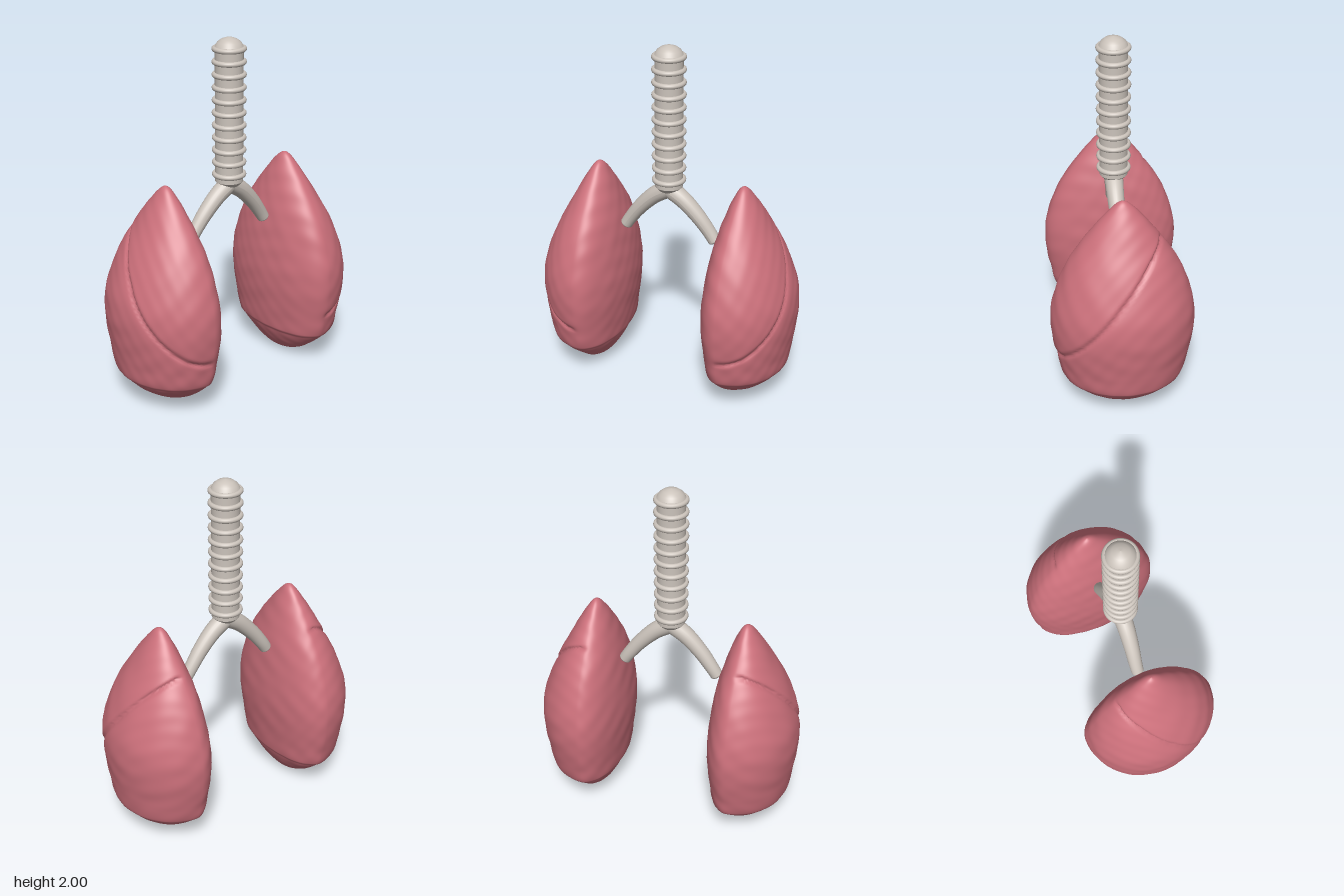
import * as THREE from 'three';

const lungPink = new THREE.MeshStandardMaterial({ color: 0xcc707b });
lungPink.name = 'lungPink';
const cartilage = new THREE.MeshStandardMaterial({ color: 0xcbc3bb });
cartilage.name = 'cartilage';

const AXIS_X = 0.44, AIRWAY_Z = 0.012;

// Lung sections: height, reach towards the middle, reach outwards, half depth
const SECTIONS = [
  [0.005, 0, 0, 0], [0.02, 0.045, 0.06, 0.09], [0.055, 0.08, 0.13, 0.175],
  [0.11, 0.115, 0.21, 0.255], [0.19, 0.148, 0.277, 0.335], [0.3, 0.162, 0.297, 0.365],
  [0.42, 0.175, 0.313, 0.388], [0.54, 0.181, 0.322, 0.397], [0.66, 0.175, 0.311, 0.385],
  [0.8, 0.159, 0.266, 0.343], [0.92, 0.138, 0.212, 0.287], [1.03, 0.109, 0.153, 0.216],
  [1.12, 0.08, 0.104, 0.148], [1.2, 0.049, 0.056, 0.08], [1.245, 0.024, 0.026, 0.035],
  [1.262, 0, 0, 0],
];
const heightCurve = new THREE.SplineCurve(SECTIONS.map((s, i) => new THREE.Vector2(i, s[0])));
const reachCurve = new THREE.CatmullRomCurve3(
  SECTIONS.map((s) => new THREE.Vector3(s[1], s[2], s[3])), false, 'catmullrom', 0.5);

// Inward offset of the skin: oblique fissure, base crease and soft lumps
function skinOffset(x, y, z) {
  const d = (y - (0.36 + (0.36 - z) * 1.21)) / 1.57;
  const fade = THREE.MathUtils.smoothstep(x, AXIS_X - 0.03, AXIS_X + 0.04);
  const groove = 0.013 * Math.exp(-((d / 0.012) ** 2));
  const step = d < 0 ? 0.007 * Math.exp(d / 0.06) : 0;
  const base = 0.009 * (1 - THREE.MathUtils.smoothstep(y, 0.178, 0.19));
  const lumps = 0.0013 * (Math.sin(31 * x + 19 * y) * Math.sin(27 * z - 13 * y + 1)
    + Math.sin(47 * y + 23 * z) * Math.sin(41 * x - 35 * z));
  return fade * (groove + step) + base + lumps;
}

function lungGeometry(side) {
  const rows = 150, segs = 120, pos = [], index = [];
  for (let i = 0; i <= rows; i++) {
    const t = i / rows;
    const y = heightCurve.getPoint(t).y, r = reachCurve.getPoint(t);
    for (let j = 0; j < segs; j++) {
      const a = (j / segs) * Math.PI * 2, c = Math.cos(a), s = Math.sin(a);
      const rx = Math.max(0, c > 0 ? r.y : r.x), rz = Math.max(0, r.z);
      const off = skinOffset(AXIS_X + rx * c, y, rz * s);
      const k = Math.min(1, rz / 0.06);
      pos.push(side * (AXIS_X + (rx - off * k) * c), y, (rz - off * k) * s);
      if (i === rows) continue;
      const p = i * segs + j, n = i * segs + (j + 1) % segs;
      if (side > 0) index.push(p, p + segs, n, n, p + segs, n + segs);
      else index.push(p, n, p + segs, n, n + segs, p + segs);
    }
  }
  const g = new THREE.BufferGeometry();
  g.setAttribute('position', new THREE.Float32BufferAttribute(pos, 3));
  g.setIndex(index);
  g.computeVertexNormals();
  return g;
}

// Tube whose radius shrinks from r0 to r1 along the path
function taperedTube(path, r0, r1, segs, sides) {
  const g = new THREE.TubeGeometry(path, segs, 1, sides, false);
  const p = g.attributes.position, v = new THREE.Vector3();
  for (let i = 0; i < p.count; i++) {
    const t = Math.floor(i / (sides + 1)) / segs, c = path.getPointAt(t);
    v.fromBufferAttribute(p, i).sub(c).multiplyScalar(r0 + (r1 - r0) * t).add(c);
    p.setXYZ(i, v.x, v.y, v.z);
  }
  g.computeVertexNormals();
  return g;
}

export function createModel() {
  const model = new THREE.Group();
  const add = (name, geometry, material, parent = model) => {
    const mesh = new THREE.Mesh(geometry, material);
    mesh.name = name;
    parent.add(mesh);
    return mesh;
  };

  // Windpipe with a shallow dome on top and a short taper at the fork
  const windpipe = new THREE.Group();
  windpipe.name = 'windpipe';
  windpipe.position.z = AIRWAY_Z;
  model.add(windpipe);
  const lathe = (pts) => new THREE.LatheGeometry(pts.map(([x, y]) => new THREE.Vector2(x, y)), 48);
  add('windpipeWall', lathe([[0.078, 1.19], [0.078, 1.95]]), cartilage, windpipe);
  add('windpipeTop', lathe([[0.078, 1.95], [0.066, 1.972], [0.045, 1.988], [0.02, 1.997], [0, 2]]),
    cartilage, windpipe);
  add('windpipeFork', lathe([[0, 1.13], [0.03, 1.145], [0.06, 1.17], [0.078, 1.19]]), cartilage, windpipe);

  // Cartilage rings
  const ringGeometry = new THREE.TorusGeometry(0.081, 0.0145, 12, 48);
  for (let i = 0; i < 11; i++) {
    const ring = add('cartilageRing', ringGeometry, cartilage, windpipe);
    ring.rotation.x = Math.PI / 2;
    ring.position.y = 1.23 + i * 0.0707;
  }

  for (const side of [1, -1]) {
    const word = side > 0 ? 'left' : 'right';
    add(word + 'Lung', lungGeometry(side), lungPink);

    // Bronchus curving down to the lung, with a rounded end
    const path = new THREE.CatmullRomCurve3([
      [0, 1.175, AIRWAY_Z], [0.09, 1.115, 0.01], [0.18, 1.025, 0.005], [0.245, 0.94, 0], [0.272, 0.899, 0],
    ].map(([x, y, z]) => new THREE.Vector3(side * x, y, z)));
    add(word + 'Bronchus', taperedTube(path, 0.053, 0.036, 32, 24), cartilage);
    const tip = add(word + 'BronchusTip', new THREE.SphereGeometry(0.036, 24, 16), cartilage);
    tip.scale.y = 0.5;
    tip.position.copy(path.getPointAt(1));
    tip.quaternion.setFromUnitVectors(new THREE.Vector3(0, 1, 0), path.getTangentAt(1));
  }
  return model;
}
